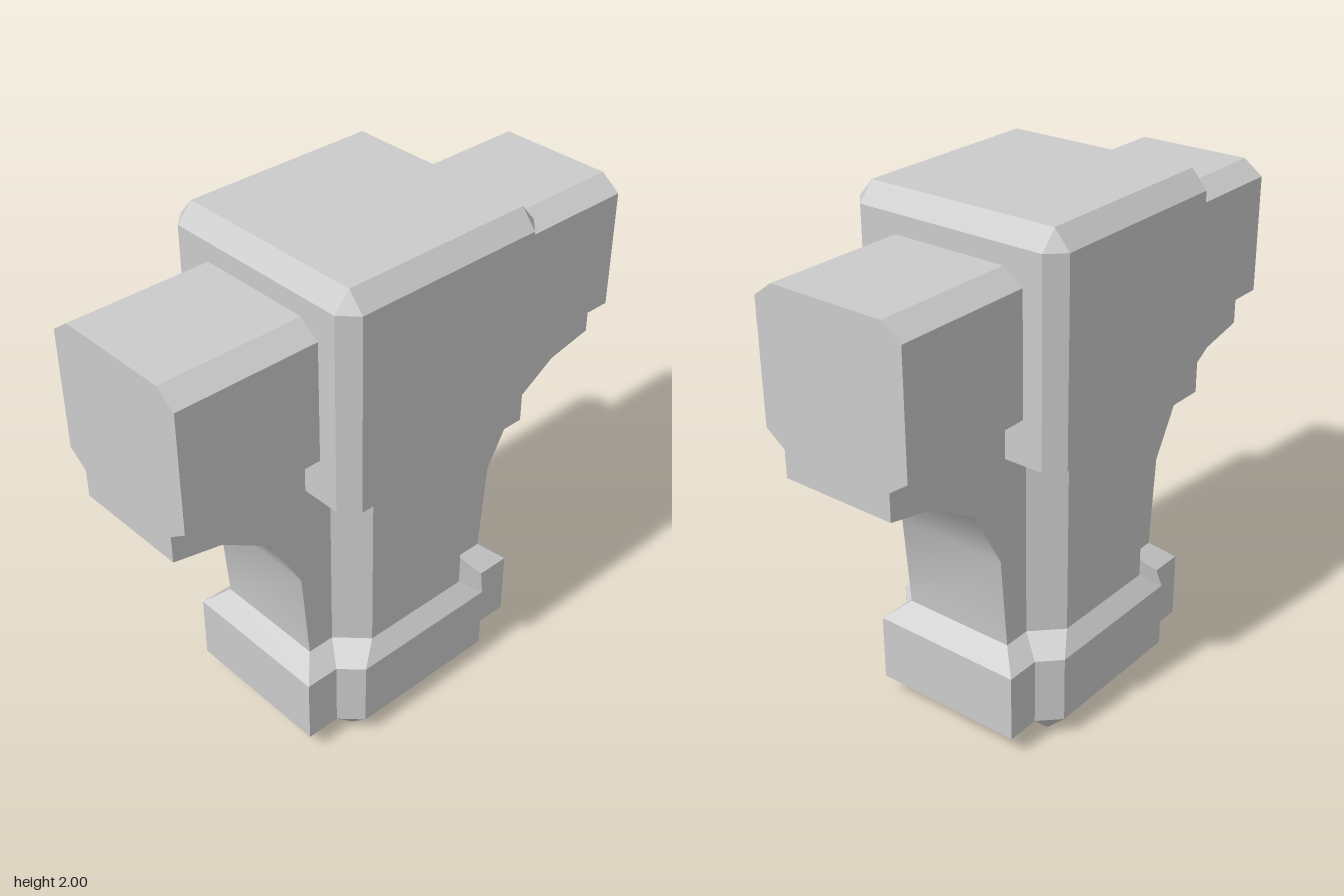
import * as THREE from 'three';
import { toCreasedNormals } from 'three/addons/utils/BufferGeometryUtils.js';

const material = new THREE.MeshStandardMaterial({ color: 0xcccccc });

// Square ring with cut corners: h = half width, c = half length of the flat (c = h gives a square)
function cutSquare(y, h, c) {
  return [[h, -c], [h, c], [c, h], [-c, h], [-h, c], [-h, -c], [-c, -h], [c, -h]]
    .map(([x, z]) => new THREE.Vector3(x, y, z));
}

function rect(y, x0, x1, hz) {
  return [[x1, -hz], [x1, hz], [x0, hz], [x0, -hz]].map(([x, z]) => new THREE.Vector3(x, y, z));
}

// Faceted solid through rings listed from bottom to top
function loft(rings) {
  const points = [];
  const tri = (a, b, c) => {
    if (new THREE.Triangle(a, b, c).getArea() > 1e-6) points.push(a, b, c);
  };
  const n = rings[0].length;
  for (let r = 0; r < rings.length - 1; r++) {
    const lo = rings[r], hi = rings[r + 1];
    for (let i = 0; i < n; i++) {
      const j = (i + 1) % n;
      tri(lo[i], hi[i], hi[j]);
      tri(lo[i], hi[j], lo[j]);
    }
  }
  const bottom = rings[0], top = rings[rings.length - 1];
  for (let i = 1; i < n - 1; i++) {
    tri(bottom[0], bottom[i], bottom[i + 1]);
    tri(top[0], top[i + 1], top[i]);
  }
  const geometry = new THREE.BufferGeometry().setFromPoints(points);
  geometry.computeVertexNormals();
  return geometry;
}

// Outline extruded symmetrically about z = 0
function slab(outline, depth) {
  const shape = new THREE.Shape(outline.map(([x, y]) => new THREE.Vector2(x, y)));
  const geometry = new THREE.ExtrudeGeometry(shape, { depth, bevelEnabled: false });
  return geometry.translate(0, 0, -depth / 2);
}

export function createModel() {
  const model = new THREE.Group();
  const add = (name, geometry, turn = 0) => {
    const mesh = new THREE.Mesh(geometry, material);
    mesh.name = name;
    mesh.rotation.y = turn;
    model.add(mesh);
  };

  // Central post: base, shaft and head block
  add('base', loft([
    cutSquare(0, 0.305, 0.305), cutSquare(0.08, 0.387, 0.31),
    cutSquare(0.345, 0.387, 0.31), cutSquare(0.415, 0.335, 0.23),
  ]));
  add('shaft', loft([cutSquare(0.415, 0.335, 0.23), cutSquare(1.095, 0.335, 0.23)]));
  add('headBlock', loft([
    cutSquare(1.095, 0.335, 0.23), cutSquare(1.17, 0.446, 0.385),
    cutSquare(1.93, 0.446, 0.385), cutSquare(2, 0.385, 0.385),
  ]));

  // Cross beam running through the head block
  const beam = slab([
    [-0.23, 1.285], [0.23, 1.285], [0.308, 1.34], [0.308, 1.8],
    [0.23, 1.857], [-0.23, 1.857], [-0.308, 1.8], [-0.308, 1.34],
  ], 2).rotateY(Math.PI / 2);
  add('crossBeam', beam);

  // Curved bracket and foot on each side
  const bracket = toCreasedNormals(slab([
    [0.2, 0.415], [0.445, 0.415], [0.475, 0.78], [0.61, 1.02],
    [0.805, 1.14], [1, 1.18], [1, 1.285], [0.2, 1.285],
  ], 0.46), 0.6);
  const foot = loft([
    rect(0, 0.335, 0.445, 0.23), rect(0.08, 0.335, 0.522, 0.31),
    rect(0.345, 0.335, 0.522, 0.31), rect(0.415, 0.335, 0.445, 0.23),
  ]);
  for (const [side, turn] of [['left', 0], ['right', Math.PI]]) {
    add(side + 'Bracket', bracket, turn);
    add(side + 'Foot', foot, turn);
  }
  return model;
}
